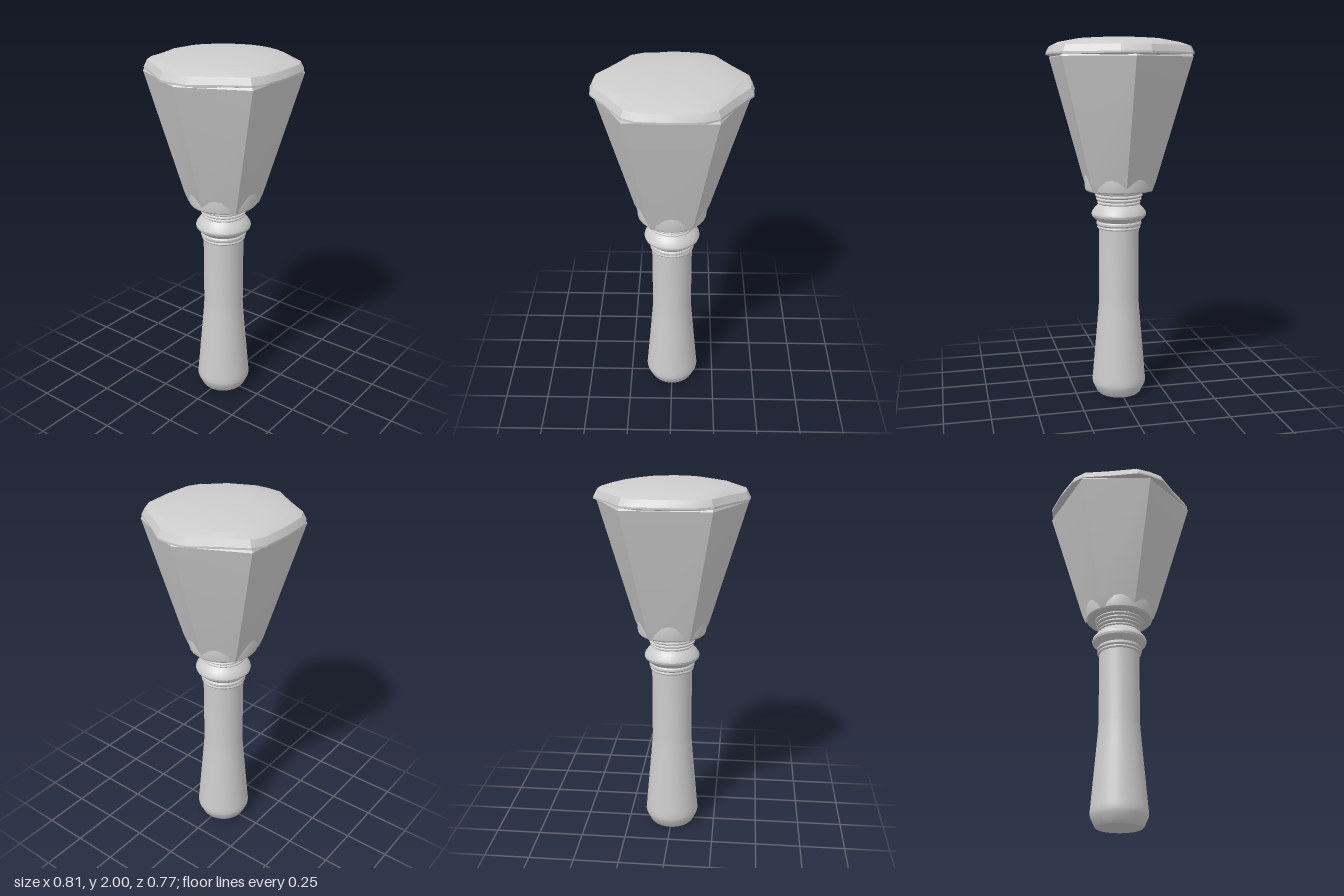
import * as THREE from 'three';
import { toCreasedNormals } from 'three/addons/utils/BufferGeometryUtils.js';

const material = new THREE.MeshStandardMaterial({ color: 0xcccccc });

function addPart(group, name, geometry, crease = 0.5) {
  const mesh = new THREE.Mesh(toCreasedNormals(geometry, crease), material);
  mesh.name = name;
  group.add(mesh);
}

function lathe(points, segments = 32) {
  return new THREE.LatheGeometry(points.map(([r, y]) => new THREE.Vector2(r, y)), segments);
}

// Skin a stack of closed rings, listed from bottom to top, each running from +x towards +z
function loft(rings) {
  const n = rings[0].length;
  const index = [];
  for (let i = 0; i < rings.length - 1; i++) {
    for (let j = 0; j < n; j++) {
      const k = (j + 1) % n;
      const a = i * n + j, b = i * n + k, c = a + n, d = b + n;
      index.push(a, c, b, b, c, d);
    }
  }
  const geometry = new THREE.BufferGeometry();
  geometry.setAttribute('position', new THREE.Float32BufferAttribute(rings.flat(2), 3));
  geometry.setIndex(index);
  return geometry;
}

// Hexagon with corners on the x axis and four more at (+-cx, +-cz)
const hexRing = (y, ax, cx, cz) =>
  [[ax, 0], [cx, cz], [-cx, cz], [-ax, 0], [-cx, -cz], [cx, -cz]].map(([x, z]) => [x, y, z]);

// Softened hexagon of the cap, mirrored from one quarter
const quarter = [[0.407, 0], [0.4, 0.08], [0.31, 0.21], [0.23, 0.34], [0.157, 0.376], [0, 0.385]];
const half = [...quarter, ...quarter.slice(0, -1).reverse().map(([x, z]) => [-x, z])];
const outline = [...half, ...half.slice(1, -1).reverse().map(([x, z]) => [x, -z])];
const capRing = (y, scale) => outline.map(([x, z]) => [x * scale, y, z * scale]);
const roundRing = (y, r) => outline.map(([x, z]) => {
  const l = Math.hypot(x, z);
  return [x / l * r, y, z / l * r];
});

export function createModel() {
  const model = new THREE.Group();
  model.name = 'mallet';

  // Handle, flared towards a chamfered butt
  addPart(model, 'handle', lathe([
    [0, 0], [0.12, 0], [0.128, 0.008], [0.15, 0.055], [0.153, 0.07], [0.15, 0.1], [0.138, 0.24],
    [0.124, 0.4], [0.114, 0.52], [0.112, 0.56], [0.112, 0.97],
  ]));

  // Turned collar with a thin ring and a large bead
  addPart(model, 'collar', lathe([
    [0.11, 0.96], [0.118, 0.96], [0.122, 0.967], [0.118, 0.976], [0.126, 0.984], [0.126, 0.994],
    [0.12, 1.002], [0.138, 1.018], [0.15, 1.03], [0.153, 1.042], [0.149, 1.056],
    [0.132, 1.078], [0.118, 1.092], [0.11, 1.1],
  ]));

  // Stack of fine rings widening up to the head
  const neck = [[0.108, 1.09]];
  for (let i = 0; i < 4; i++) {
    const y = 1.096 + i * 0.02, r = 0.12 + i * 0.006;
    neck.push([r - 0.008, y], [r, y + 0.006], [r, y + 0.012], [r - 0.008, y + 0.018]);
  }
  addPart(model, 'neckRings', lathe(neck));

  // Round foot of the head, showing as arches on the flat faces
  addPart(model, 'headFoot', lathe([
    [0, 1.172], [0.18, 1.172], [0.187, 1.18], [0.19, 1.2], [0.19, 1.24],
    [0.187, 1.27], [0.175, 1.3], [0, 1.32],
  ]));

  // Tapered six-sided head
  addPart(model, 'head', loft([
    hexRing(1.175, 0.178, 0.108, 0.162),
    hexRing(1.23, 0.203, 0.12, 0.18),
    hexRing(1.895, 0.4, 0.23, 0.347),
    hexRing(1.91, 0.39, 0.225, 0.34),
  ]), 0.3);

  // Domed cap with an overhanging bevelled lip
  addPart(model, 'cap', loft([
    roundRing(1.9, 0.001),
    capRing(1.9, 0.93),
    capRing(1.908, 1),
    capRing(1.918, 1),
    capRing(1.953, 0.955),
    roundRing(1.972, 0.33),
    roundRing(1.991, 0.23),
    roundRing(1.999, 0.1),
    roundRing(2, 0.001),
  ]), 0.4);

  return model;
}
